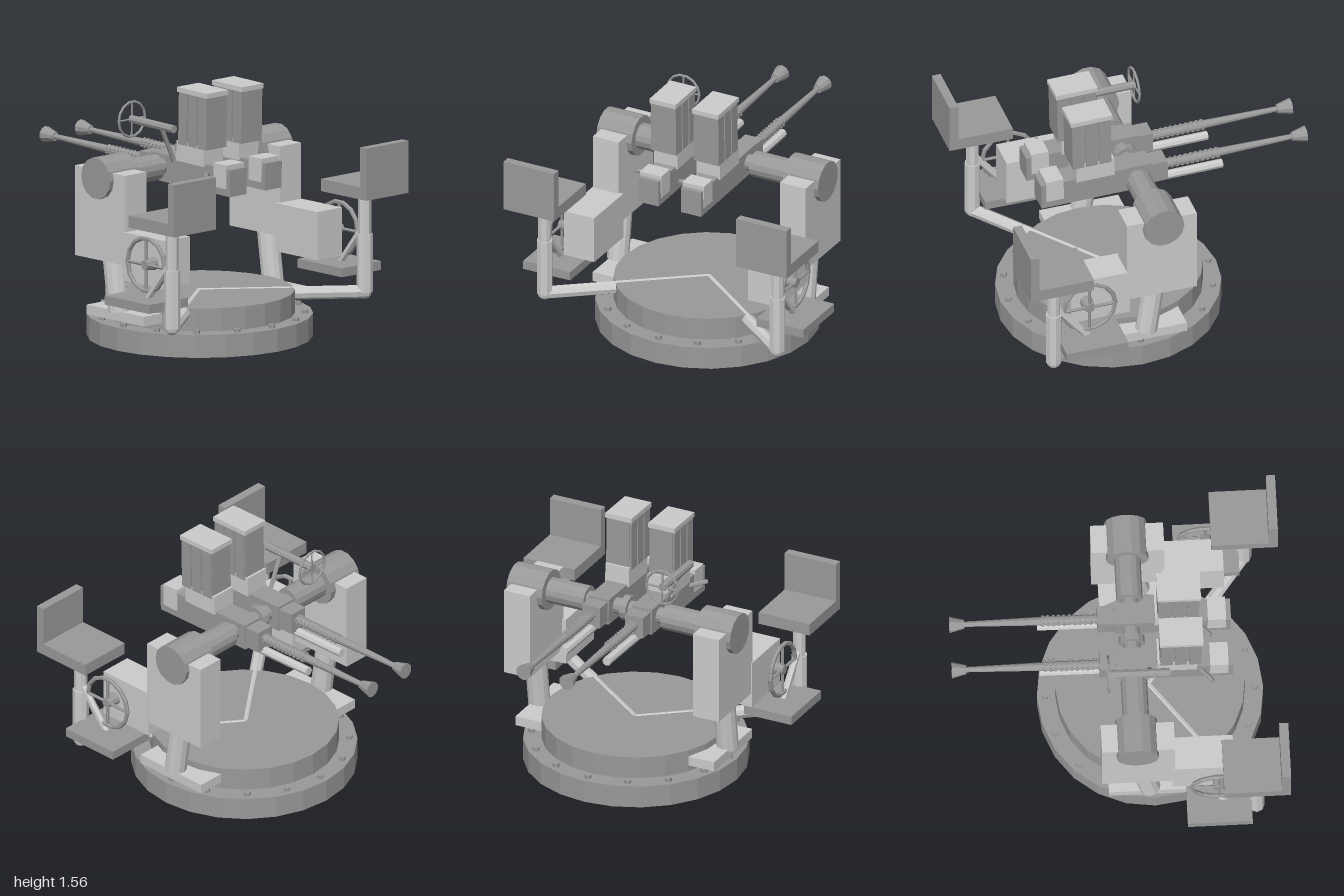
import * as THREE from 'three';

const light = new THREE.MeshStandardMaterial({ color: 0xcccccc, flatShading: true });
const dark = new THREE.MeshStandardMaterial({ color: 0x999999, flatShading: true });

function add(parent, name, geometry, material) {
  const mesh = new THREE.Mesh(geometry, material);
  mesh.name = name;
  parent.add(mesh);
  return mesh;
}

// Box given by its limits on each axis
function box(parent, name, [x0, x1], [y0, y1], [z0, z1], material) {
  const mesh = add(parent, name, new THREE.BoxGeometry(Math.abs(x1 - x0), y1 - y0, z1 - z0), material);
  mesh.position.set((x0 + x1) / 2, (y0 + y1) / 2, (z0 + z1) / 2);
  return mesh;
}

// Round bar from point a to point b, with a radius at each end
function rod(parent, name, a, b, ra, rb, sides, material) {
  const start = new THREE.Vector3(...a), end = new THREE.Vector3(...b);
  const dir = end.clone().sub(start);
  const mesh = add(parent, name, new THREE.CylinderGeometry(rb, ra, dir.length(), sides), material);
  mesh.position.copy(start).add(end).multiplyScalar(0.5);
  mesh.quaternion.setFromUnitVectors(new THREE.Vector3(0, 1, 0), dir.normalize());
  return mesh;
}

// Spoked wheel in the local xy plane
function wheel(name, radius, tube) {
  const g = new THREE.Group();
  g.name = name;
  add(g, 'rim', new THREE.TorusGeometry(radius, tube, 6, 14), dark);
  rod(g, 'spoke', [-radius, 0, 0], [radius, 0, 0], tube * 0.7, tube * 0.7, 6, dark);
  rod(g, 'spoke', [0, -radius, 0], [0, radius, 0], tube * 0.7, tube * 0.7, 6, dark);
  return g;
}

function createBase() {
  const g = new THREE.Group();
  g.name = 'base';
  rod(g, 'baseDisc', [0, 0, 0.2], [0, 0.14, 0.2], 0.68, 0.68, 24, dark);
  rod(g, 'turntable', [0, 0.14, 0.2], [0, 0.28, 0.2], 0.57, 0.57, 24, dark);
  for (let i = 0; i < 16; i++) {
    const a = (i / 16) * Math.PI * 2;
    const x = 0.63 * Math.sin(a), z = 0.2 + 0.63 * Math.cos(a);
    rod(g, 'bolt', [x, 0.13, z], [x, 0.162, z], 0.021, 0.021, 6, dark);
  }
  return g;
}

// Leg, bearing housing, gearbox and operator seat of one side (s = 1 or -1)
function createSide(s) {
  const g = new THREE.Group();
  g.name = s > 0 ? 'leftSide' : 'rightSide';
  const X = (a, b) => [s * a, s * b];
  box(g, 'footPlate', X(0.42, 0.67), [0.18, 0.24], [-0.08, 0.42], light);
  rod(g, 'leg', [s * 0.635, 0.23, 0.165], [s * 0.635, 0.58, 0.115], 0.067, 0.067, 12, light);
  box(g, 'sideHousing', X(0.55, 0.725), [0.545, 1.095], [-0.125, 0.315], light);
  rod(g, 'bearingDrum', [s * 0.515, 1.05, 0.09], [s * 0.755, 1.05, 0.09], 0.127, 0.127, 14, dark);
  rod(g, 'axleSleeve', [s * 0.26, 1.05, 0.09], [s * 0.52, 1.05, 0.09], 0.08, 0.08, 14, dark);

  // Gearbox with its handwheel
  box(g, 'gearbox', X(0.525, 0.73), [0.455, 0.75], [0.30, 0.67], light);
  rod(g, 'handwheelHub', [s * 0.72, 0.6, 0.575], [s * 0.81, 0.6, 0.575], 0.042, 0.03, 10, dark);
  const hand = wheel('handwheel', 0.163, 0.014);
  hand.position.set(s * 0.795, 0.6, 0.575);
  hand.rotation.y = Math.PI / 2;
  g.add(hand);

  // Seat on its post, carried by an arm from the turntable centre
  rod(g, 'seatArm', [0, 0.245, 0.19], [s * 0.79, 0.245, 0.8], 0.04, 0.04, 8, light);
  const elbow = add(g, 'elbow', new THREE.SphereGeometry(0.044, 8, 6), light);
  elbow.position.set(s * 0.793, 0.245, 0.8);
  rod(g, 'seatPostSleeve', [s * 0.793, 0.245, 0.8], [s * 0.793, 0.6, 0.8], 0.049, 0.049, 8, light);
  rod(g, 'seatPost', [s * 0.793, 0.58, 0.8], [s * 0.793, 0.87, 0.8], 0.04, 0.04, 8, light);
  box(g, 'seat', X(0.62, 0.965), [0.855, 0.93], [0.6, 1], dark);
  box(g, 'backrest', X(0.62, 0.965), [0.9, 1.175], [0.945, 1], dark);
  box(g, 'footrest', X(0.635, 0.955), [0.35, 0.405], [0.38, 0.77], dark);
  rod(g, 'footrestStrut', [s * 0.793, 0.64, 0.785], [s * 0.793, 0.39, 0.585], 0.022, 0.022, 6, light);
  return g;
}

// One gun, built around x = 0
function createGun() {
  const g = new THREE.Group();
  g.name = 'gun';
  box(g, 'receiver', [-0.068, 0.068], [0.96, 1.125], [-0.01, 0.69], dark);
  box(g, 'receiverNose', [-0.06, 0.06], [0.975, 1.11], [-0.11, 0], dark);
  box(g, 'rearCover', [-0.073, 0.073], [1.005, 1.15], [0.55, 0.66], light);
  rod(g, 'cockingLever', [-0.06, 1.07, 0.49], [-0.15, 1.09, 0.565], 0.014, 0.014, 6, dark);
  rod(g, 'recoilTube', [0, 0.963, 0.1], [0, 0.963, -0.47], 0.028, 0.028, 8, light);

  // Barrel with studded jacket and flared muzzle
  rod(g, 'barrelJacket', [0, 1.05, 0.05], [0, 1.05, -0.45], 0.029, 0.029, 12, dark);
  for (let i = 0; i < 15; i++) {
    for (let j = 0; j < 6; j++) {
      const a = ((j + 0.5) / 6) * Math.PI * 2, c = Math.cos(a), n = Math.sin(a), z = 0.01 - i * 0.032;
      rod(g, 'jacketStud', [0.025 * c, 1.05 + 0.025 * n, z], [0.034 * c, 1.05 + 0.034 * n, z], 0.008, 0.008, 5, dark);
    }
  }
  rod(g, 'barrel', [0, 1.05, -0.45], [0, 1.05, -0.92], 0.026, 0.016, 10, dark);
  rod(g, 'muzzle', [0, 1.05, -0.91], [0, 1.05, -0.999], 0.027, 0.05, 10, dark);
  rod(g, 'bore', [0, 1.05, -0.99], [0, 1.05, -1], 0.014, 0.014, 8, dark);

  // Ammunition box with ribbed sides
  box(g, 'feedBlock', [-0.08, 0.08], [1.11, 1.235], [0.23, 0.47], light);
  box(g, 'ammoBox', [-0.074, 0.074], [1.215, 1.55], [0.245, 0.485], dark);
  for (const z of [0.25, 0.335, 0.42]) {
    box(g, 'ammoBoxRib', [-0.085, 0.085], [1.215, 1.55], [z, z + 0.073], dark);
  }
  box(g, 'ammoBoxLid', [-0.089, 0.089], [1.535, 1.565], [0.238, 0.5], light);
  return g;
}

// Wheel sight on its rod and slanted bracket
function createSight() {
  const g = new THREE.Group();
  g.name = 'sight';
  const ring = wheel('sightRing', 0.108, 0.008);
  ring.position.set(-0.312, 1.325, -0.07);
  g.add(ring);
  rod(g, 'sightRod', [-0.312, 1.325, -0.075], [-0.312, 1.325, 0.3], 0.025, 0.025, 8, dark);
  rod(g, 'sightBracket', [-0.312, 1.325, 0.185], [-0.19, 1.07, 0.185], 0.014, 0.014, 6, dark);
  return g;
}

export function createModel() {
  const model = new THREE.Group();
  model.name = 'twinGunMount';
  model.add(createBase(), createSide(1), createSide(-1));

  rod(model, 'axle', [-0.27, 1.05, 0.09], [0.27, 1.05, 0.09], 0.05, 0.05, 12, dark);
  rod(model, 'axleCollar', [-0.022, 1.05, 0.09], [0.022, 1.05, 0.09], 0.078, 0.078, 12, dark);

  // Guns and sight pitch slightly upward about the axle
  const pivot = new THREE.Group();
  pivot.name = 'elevatingGuns';
  pivot.position.set(0, 1.05, 0.09);
  pivot.rotation.x = 0.02;
  const cradle = new THREE.Group();
  cradle.name = 'cradle';
  cradle.position.set(0, -1.05, -0.09);
  for (const x of [-0.145, 0.145]) {
    const gun = createGun();
    gun.position.x = x;
    cradle.add(gun);
  }
  cradle.add(createSight());
  pivot.add(cradle);
  model.add(pivot);
  return model;
}
